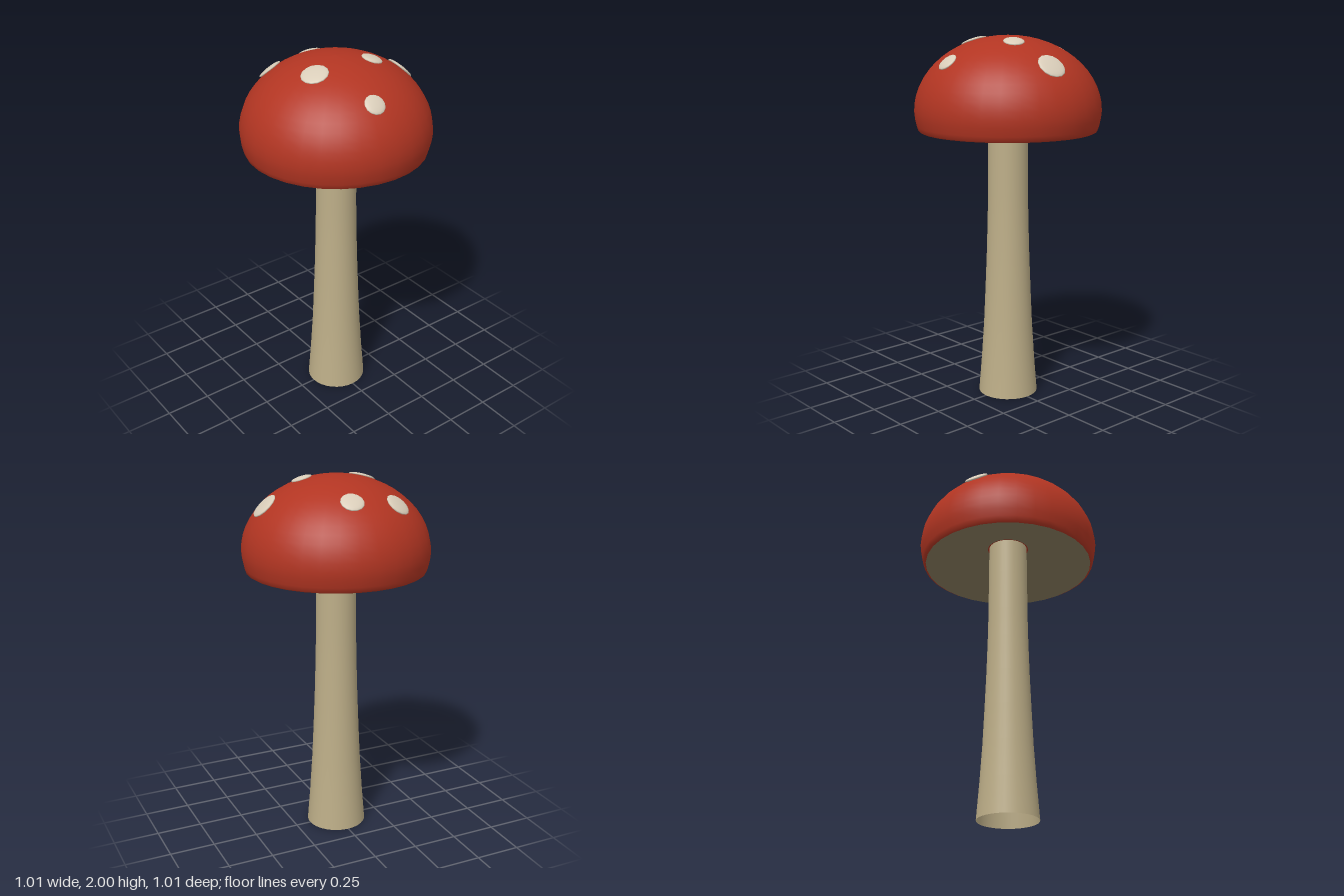
import * as THREE from 'three';

const CAP_Y = 1.6, CAP_R = 0.505, CAP_H = 0.4;

function mat(color, side = THREE.FrontSide) {
  const m = new THREE.MeshStandardMaterial({ color });
  m.side = side;
  return m;
}

function lathe(name, points, material) {
  const geo = new THREE.LatheGeometry(points.map(([r, y]) => new THREE.Vector2(r, y)), 32);
  const mesh = new THREE.Mesh(geo, material);
  mesh.name = name;
  return mesh;
}

export function createModel() {
  const group = new THREE.Group();
  group.name = 'mushroom';
  const red = mat(0xb23522);
  const cream = mat(0xd9cdb9);

  // Flared stem, open at the foot
  group.add(lathe('stem', [
    [0.165, 0], [0.149, 0.2], [0.136, 0.4], [0.127, 0.6], [0.119, 0.8],
    [0.113, 1.0], [0.11, 1.17], [0.109, 1.4], [0.108, 1.62],
  ], mat(0xbdae88, THREE.DoubleSide)));

  // Domed cap with a tucked-in rim
  const dome = [[0.472, 1.488], [0.484, 1.495], [0.492, 1.52], [0.501, 1.56]];
  for (let i = 0; i <= 14; i++) {
    const a = (i / 14) * Math.PI / 2;
    dome.push([CAP_R * Math.cos(a), CAP_Y + CAP_H * Math.sin(a)]);
  }
  group.add(lathe('cap', dome, red));

  // Hollow underside rising to the stem, with a thin collar around it
  group.add(lathe('underside', [[0.116, 1.597], [0.24, 1.56], [0.36, 1.522], [0.472, 1.488]],
    mat(0x8a7e60, THREE.DoubleSide)));
  group.add(lathe('collar', [[0.1, 1.602], [0.116, 1.597]], mat(0xb23522, THREE.DoubleSide)));

  // Flattened spots lying on the cap: x, z, radius
  const spots = [
    [0.045, -0.385, 0.076], [0.095, -0.155, 0.056], [-0.315, -0.06, 0.062],
    [-0.308, 0.2, 0.068], [0.08, 0.19, 0.072], [0.372, 0.045, 0.055],
  ];
  const up = new THREE.Vector3(0, 1, 0);
  for (const [x, z, r] of spots) {
    const h = CAP_H * Math.sqrt(1 - (x * x + z * z) / CAP_R ** 2);
    const normal = new THREE.Vector3(x / CAP_R ** 2, h / CAP_H ** 2, z / CAP_R ** 2).normalize();
    const spot = new THREE.Mesh(new THREE.SphereGeometry(1, 14, 10), cream);
    spot.name = 'spot';
    spot.scale.set(r, 0.013, r);
    spot.position.set(x, CAP_Y + h, z);
    spot.quaternion.setFromUnitVectors(up, normal);
    group.add(spot);
  }
  return group;
}
